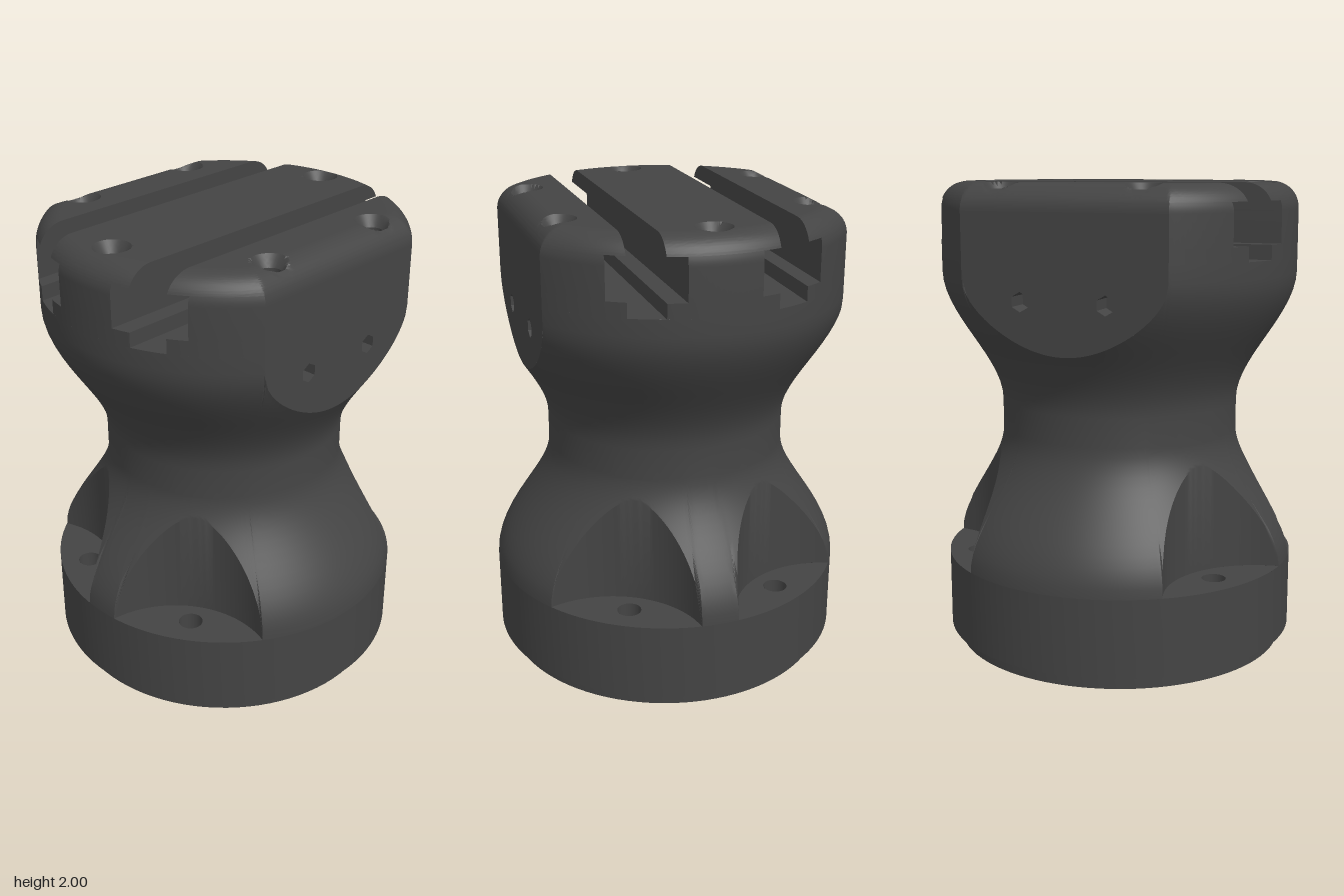
import * as THREE from 'three';
import { toCreasedNormals } from 'three/addons/utils/BufferGeometryUtils.js';

const R = 0.757, NECK = 0.51, FLAT = 0.62, EDGE = 0.11, SHOULDER = 1.89, ROOF = 1.93;
const PC = 0.936, PR = 0.406;                       // pocket cutter: axis distance, radius
const PA = THREE.MathUtils.degToRad(31);
const POCKETS = [PA, Math.PI - PA, Math.PI + PA, 2 * Math.PI - PA];
const HALF = Math.acos((PC * PC + R * R - PR * PR) / (2 * PC * R));
const FA = Math.asin(FLAT / R);                     // angle where the flats begin
const BORE = 0.044, SINK = 0.075;

const material = new THREE.MeshStandardMaterial({ color: 0x444444, side: THREE.DoubleSide });

// surface from fn(i, j) -> [x, y, z]; keep() may drop triangles
function grid(nu, nv, fn, keep = () => true) {
  const P = [], out = [], ab = new THREE.Vector3(), ac = new THREE.Vector3();
  for (let i = 0; i <= nu; i++) {
    P.push([]);
    for (let j = 0; j <= nv; j++) P[i].push(new THREE.Vector3(...fn(i, j)));
  }
  const tri = (a, b, c) => {
    ab.subVectors(b, a); ac.subVectors(c, a);
    if (ab.cross(ac).length() < 1e-9 || !keep(a, b, c)) return;
    for (const p of [a, b, c]) out.push(p.x, p.y, p.z);
  };
  for (let i = 0; i < nu; i++) for (let j = 0; j < nv; j++) {
    tri(P[i][j], P[i + 1][j], P[i + 1][j + 1]);
    tri(P[i][j], P[i + 1][j + 1], P[i][j + 1]);
  }
  const g = new THREE.BufferGeometry();
  g.setAttribute('position', new THREE.Float32BufferAttribute(out, 3));
  return toCreasedNormals(g, 0.5);
}

const smooth = t => t * t * (3 - 2 * t);
const unsmooth = s => 0.5 - Math.sin(Math.asin(THREE.MathUtils.clamp(1 - 2 * s, -1, 1)) / 3);
const flare = t => NECK + (R - NECK) * smooth(t);
const flareAt = r => unsmooth((r - NECK) / (R - NECK));
const lowY = t => 0.95 - 0.55 * t, highY = t => 1.07 + 0.56 * t;
const pocketR = d => Math.min(R, PC * Math.cos(d) - Math.sqrt(PR * PR - (PC * Math.sin(d)) ** 2));

// head: inset of the rounded top edge, half length along x, half depth
const inset = y => y <= SHOULDER ? 0 : EDGE - Math.sqrt(EDGE ** 2 - (y - SHOULDER) ** 2);
const halfX = (z, y) => Math.sqrt((R - inset(y)) ** 2 - z * z);
const halfZ = y => FLAT - inset(y);

// radial column of the body at angle a, split exactly where pockets and flats cut it
function column(a) {
  let p = R;
  for (const c of POCKETS) {
    const d = Math.atan2(Math.sin(a - c), Math.cos(a - c));
    if (Math.abs(d) < HALF) p = pocketR(d);
  }
  const f = Math.min(R, FLAT / Math.max(Math.abs(Math.sin(a)), 1e-6));
  const tA = flareAt(p), tB = flareAt(f), n = 14;
  const col = [[p, 0.4]];
  for (let k = 0; k <= n; k++) { const t = tA * (1 - k / n); col.push([flare(t), lowY(t)]); }
  for (let k = 0; k <= n; k++) { const t = tB * k / n; col.push([flare(t), highY(t)]); }
  col.push(f < R - 1e-5 ? [f, highY(tB)] : [R, 1.7]);
  return col;
}

function bodyGeometry() {
  const key = [FA, Math.PI - FA, Math.PI + FA, 2 * Math.PI - FA];
  for (const c of POCKETS) key.push(c - HALF, c + HALF);
  const ang = [...key];
  for (let i = 0; i < 240; i++) {
    const a = i * Math.PI / 120;
    if (key.every(k => Math.abs(k - a) > 0.006)) ang.push(a);
  }
  ang.sort((a, b) => a - b);
  ang.push(ang[0] + 2 * Math.PI);
  const cols = ang.map(column);
  return grid(cols[0].length - 1, ang.length - 1, (i, j) => {
    const [r, y] = cols[j][i];
    return [r * Math.cos(ang[j]), y, r * Math.sin(ang[j])];
  });
}

// top land between z0 and z1, with countersunk screw holes
const SCREWS = [0, 1, 2, 3, 4, 5].map(k => [0.6 * Math.cos(k * Math.PI / 3), 0.6 * Math.sin(k * Math.PI / 3)]);
function landPoint(x, z, border) {
  let cone = 9;
  for (const [cx, cz] of SCREWS) {
    let d = Math.hypot(x - cx, z - cz);
    if (!border) for (const ring of [BORE, SINK]) if (Math.abs(d - ring) < 0.007) {
      x = cx + (x - cx) * ring / d; z = cz + (z - cz) * ring / d; d = ring;
    }
    if (d <= SINK) cone = 1.955 + 0.045 * (d - BORE) / (SINK - BORE);
  }
  const e = Math.max(0, EDGE - Math.min(R - Math.hypot(x, z), FLAT - Math.abs(z)));
  return [x, Math.min(cone, SHOULDER + Math.sqrt(Math.max(0, EDGE ** 2 - e * e))), z];
}
function landGeometries(z0, z1, rows, ease) {
  const cols = 160;
  const at = (i, j) => {
    const z = z0 + (z1 - z0) * ease(i / rows);
    const x = halfX(z, ROOF) * Math.sin(Math.PI * (j / cols - 0.5));
    return landPoint(x, z, i === 0 || i === rows || j === 0 || j === cols);
  };
  const keep = (a, b, c) => SCREWS.every(([x, z]) =>
    Math.hypot((a.x + b.x + c.x) / 3 - x, (a.z + b.z + c.z) / 3 - z) > BORE - 1e-4);
  const wall = row => grid(1, cols, (i, j) => { const p = at(row, j); return i ? p : [p[0], ROOF, p[2]]; });
  return [grid(rows, cols, at, keep), wall(0), wall(rows)];
}

// round or hexagonal blind recess, opening upward at y = 0
function recess(r, depth, sides) {
  const pts = [[0, -depth], [r, -depth], [r, 0]].map(p => new THREE.Vector2(...p));
  return toCreasedNormals(new THREE.LatheGeometry(pts, sides), 0.7);
}
const circleHole = (x, y, r) => new THREE.Path().absarc(x, y, r, 0, Math.PI * 2, true);

export function createModel() {
  const model = new THREE.Group();
  const add = (name, geometry, x = 0, y = 0, z = 0, parent = model) => {
    const m = new THREE.Mesh(geometry, material);
    m.name = name; m.position.set(x, y, z); parent.add(m);
    return m;
  };

  // waisted body and base rim
  add('body', bodyGeometry());
  const rim = [[0.7, 0.07], [R, 0.07], [R, 0.4]].map(p => new THREE.Vector2(...p));
  add('baseRim', toCreasedNormals(new THREE.LatheGeometry(rim, 120), 0.5));

  // pocket floors with through holes for bolts
  const floor = new THREE.Shape(), steps = 24;
  for (let i = 0; i <= steps; i++) {
    const d = HALF * (2 * i / steps - 1);
    floor[i ? 'lineTo' : 'moveTo'](R * Math.cos(d), R * Math.sin(d));
  }
  for (let i = steps; i >= 0; i--) {
    const d = HALF * (2 * i / steps - 1), p = pocketR(d);
    floor.lineTo(p * Math.cos(d), p * Math.sin(d));
  }
  floor.holes.push(circleHole(0.63, 0, 0.05));
  const floorGeo = new THREE.ShapeGeometry(floor, 24).rotateX(-Math.PI / 2);
  const tubeGeo = new THREE.CylinderGeometry(0.05, 0.05, 0.39, 24, 1, true);
  const plate = new THREE.Shape().absarc(0, 0, 0.715, 0, Math.PI * 2);
  for (const a of POCKETS) {
    const pocket = new THREE.Group();
    pocket.name = 'boltPocket'; pocket.rotation.y = a; model.add(pocket);
    add('pocketFloor', floorGeo, 0, 0.4, 0, pocket);
    add('boltHole', tubeGeo, 0.63, 0.205, 0, pocket);
    plate.holes.push(circleHole(0.63 * Math.cos(a), 0.63 * Math.sin(a), 0.05));
  }

  // bottom plate and its raised pad
  const up = (shape, depth) => new THREE.ExtrudeGeometry(shape, { depth, bevelEnabled: false, curveSegments: 48 }).rotateX(-Math.PI / 2);
  add('bottomPlate', toCreasedNormals(up(plate, 0.06), 0.5), 0, 0.01);
  const pad = new THREE.Shape().absarc(0.075, 0, 0.1, -Math.PI / 2, Math.PI / 2).absarc(-0.075, 0, 0.1, Math.PI / 2, Math.PI * 1.5);
  add('bottomPad', up(pad, 0.01), -0.257, 0);

  // front and back flats with hexagonal holes
  const face = new THREE.Shape();
  for (let i = 0; i <= 48; i++) {
    const a = FA + (Math.PI - 2 * FA) * i / 48;
    face[i ? 'lineTo' : 'moveTo'](FLAT / Math.tan(a), highY(flareAt(Math.min(R, FLAT / Math.sin(a)))));
  }
  const fx = halfX(FLAT, SHOULDER);
  face.lineTo(-fx, SHOULDER).lineTo(fx, SHOULDER);
  for (const x of [-0.18, 0.18]) face.holes.push(new THREE.Path([0, 1, 2, 3, 4, 5].map(k =>
    new THREE.Vector2(x + 0.04 * Math.sin(k * Math.PI / 3), 1.54 + 0.04 * Math.cos(k * Math.PI / 3)))));
  const faceGeo = new THREE.ShapeGeometry(face);
  const hexGeo = recess(0.04, 0.1, 6).rotateX(Math.PI / 2);
  const brow = grid(4, 1, (i, j) => {
    const y = SHOULDER + (ROOF - SHOULDER) * i / 4, z = halfZ(y);
    return [(j ? -1 : 1) * halfX(z, y), y, z];
  });

  // head ends around the slots: [y levels, z from, z to], null means the flat face
  const low = [1.7, 1.76], high = [1.76, SHOULDER, 1.9, 1.91, 1.92, ROOF];
  const ends = [[low, 0.355, null], [low, -0.22, 0.22], [low, null, -0.355],
    [high, 0.425, null], [high, -0.145, 0.145], [high, null, -0.425]];
  // T-slot section as (z, y)
  const slot = [[0.355, ROOF], [0.425, ROOF], [0.425, 1.76], [0.355, 1.76], [0.355, 1.7],
    [0.22, 1.7], [0.22, 1.76], [0.145, 1.76], [0.145, ROOF], [0.22, ROOF]];

  for (const s of [1, -1]) {
    const half = new THREE.Group();
    half.name = s > 0 ? 'frontHalf' : 'backHalf';
    half.rotation.y = s > 0 ? 0 : Math.PI;
    model.add(half);
    add('flatFace', faceGeo, 0, 0, FLAT, half);
    add('flatFaceEdge', brow, 0, 0, 0, half);
    for (const x of [-0.18, 0.18]) add('hexHole', hexGeo, x, 1.54, FLAT, half);
    for (const [ys, za, zb] of ends) add('headEnd', grid(ys.length - 1, 14, (i, j) => {
      const y = ys[i], a = za ?? -halfZ(y), b = zb ?? halfZ(y), z = a + (b - a) * j / 14;
      return [halfX(z, y), y, z];
    }), 0, 0, 0, half);
    add('slotWalls', grid((slot.length - 1) * 4, 1, (i, j) => {
      const k = Math.min(Math.floor(i / 4), slot.length - 2), t = i / 4 - k;
      const z = slot[k][0] + (slot[k + 1][0] - slot[k][0]) * t;
      const y = slot[k][1] + (slot[k + 1][1] - slot[k][1]) * t;
      return [(j ? -1 : 1) * halfX(z, y), y, z];
    }), 0, 0, 0, half);
    for (const g of landGeometries(0.355, halfZ(ROOF), 30, t => Math.sin(t * Math.PI / 2))) add('outerLand', g, 0, 0, 0, half);
  }
  for (const g of landGeometries(-0.22, 0.22, 40, t => t)) add('middleLand', g);

  // bores under the countersinks
  for (const [x, z] of SCREWS) add('screwBore', recess(BORE, 0.1, 24), x, 1.955, z);
  return model;
}
